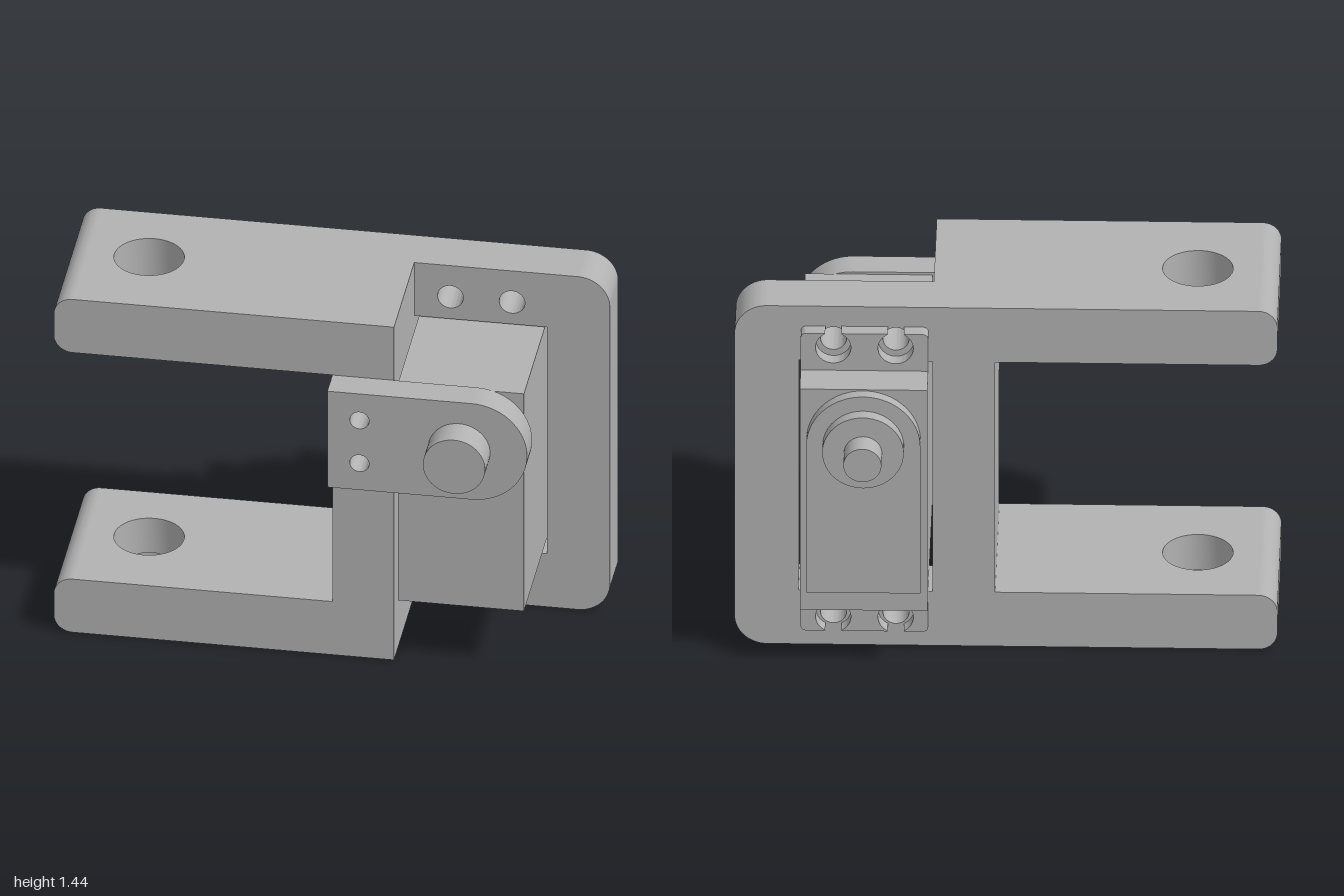
import * as THREE from 'three';
import { toCreasedNormals } from 'three/addons/utils/BufferGeometryUtils.js';

const PI = Math.PI;

export function createModel() {
  const model = new THREE.Group();
  model.name = 'servoBracket';
  const grey = new THREE.MeshStandardMaterial({ color: 0xb2b2b2 });
  grey.name = 'plain grey';

  const add = (name, geometry, parent = model) => {
    const mesh = new THREE.Mesh(geometry, grey);
    mesh.name = name;
    parent.add(mesh);
    return mesh;
  };
  const extrude = (shape, depth) => toCreasedNormals(
    new THREE.ExtrudeGeometry(shape, { depth, bevelEnabled: false, curveSegments: 24 }), 0.5);
  // Profile in x/y, running from z0 to z1
  const alongZ = (name, shape, z0, z1, parent) =>
    add(name, extrude(shape, z1 - z0).translate(0, 0, z0), parent);
  // Profile in x/-z, running from y0 to y1
  const alongY = (name, shape, y0, y1, parent) =>
    add(name, extrude(shape, y1 - y0).rotateX(-PI / 2).translate(0, y0, 0), parent);
  const box = (name, x0, x1, y0, y1, z0, z1, parent) =>
    add(name, new THREE.BoxGeometry(x1 - x0, y1 - y0, z1 - z0)
      .translate((x0 + x1) / 2, (y0 + y1) / 2, (z0 + z1) / 2), parent);
  const disc = (name, x, y, r, z0, z1, parent) =>
    add(name, new THREE.CylinderGeometry(r, r, z1 - z0, 48)
      .rotateX(PI / 2).translate(x, y, (z0 + z1) / 2), parent);
  const circle = (x, y, r) => new THREE.Path().absarc(x, y, r, 0, 2 * PI, false);
  const rect = (x0, x1, y0, y1) => new THREE.Shape()
    .moveTo(x0, y0).lineTo(x1, y0).lineTo(x1, y1).lineTo(x0, y1).closePath();

  const BACK = -0.25, FRONT = 0.4, MID = -0.06, H = 1.44;

  // Bracket: two arms, each with a rounded tip and a vertical pivot hole
  const bracket = new THREE.Group();
  bracket.name = 'bracket';
  model.add(bracket);
  const armShape = hole => {
    const s = rect(-0.93, 0.27, -FRONT, -BACK);
    s.holes.push(hole);
    return s;
  };
  const pivot = () => circle(-0.7, -0.06, 0.13);
  // Tapered recess for a lever, under the lower arm
  const t = Math.acos(0.08 / 0.65);
  const slot = new THREE.Path()
    .absarc(-0.7, -0.06, 0.18, t, 2 * PI - t, false)
    .absarc(-0.05, -0.06, 0.1, -t, t, false)
    .closePath();
  alongY('lowerArmRecess', armShape(slot), 0, 0.08, bracket);
  alongY('lowerArm', armShape(pivot()), 0.08, 0.23, bracket);
  alongY('upperArm', armShape(pivot()), 1.21, H, bracket);
  for (const [name, y0, y1] of [['lowerArmTip', 0, 0.23], ['upperArmTip', 1.21, H]]) {
    const tip = new THREE.Shape()
      .moveTo(-0.93, y0).lineTo(-0.93, y1)
      .absarc(-0.93, y1 - 0.07, 0.07, PI / 2, PI, false)
      .absarc(-0.93, y0 + 0.07, 0.07, PI, PI * 1.5, false);
    alongZ(name, tip, BACK, FRONT, bracket);
  }
  box('web', 0.04, 0.27, 0.23, 1.21, BACK, FRONT, bracket);

  // Mounting plate around the servo, open towards the web
  const plate = new THREE.Shape()
    .moveTo(0.27, 0).lineTo(0.88, 0)
    .absarc(0.88, 0.12, 0.12, -PI / 2, 0, false)
    .absarc(0.88, H - 0.12, 0.12, 0, PI / 2, false)
    .lineTo(0.27, H).lineTo(0.27, 1.21).lineTo(0.765, 1.21)
    .lineTo(0.765, 0.23).lineTo(0.27, 0.23).closePath();
  for (const x of [0.405, 0.635])
    for (const y of [0.14, 1.305]) plate.holes.push(circle(x, y, 0.048));
  alongZ('mountingPlate', plate, BACK, MID, bracket);

  // Servo body
  const servo = new THREE.Group();
  servo.name = 'servo';
  model.add(servo);
  box('servoBody', 0.285, 0.755, 0.26, 1.2, -0.445, FRONT, servo);

  // Mounting tabs with open screw holes, outer edge at local y = 0
  const tab = new THREE.Shape()
    .moveTo(-0.235, -0.18).lineTo(0.235, -0.18)
    .absarc(0.215, -0.02, 0.02, 0, PI / 2, false);
  const a = Math.acos(0.03 / 0.065);
  for (const x of [0.115, -0.115]) {
    tab.lineTo(x + 0.03, 0);
    tab.absarc(x, -0.06, 0.065, a, PI - a, true);
    tab.lineTo(x - 0.03, 0);
  }
  tab.absarc(-0.215, -0.02, 0.02, PI / 2, PI, false).closePath();
  for (const [name, y, turn] of [['upperTab', 1.356, 0], ['lowerTab', 0.09, PI]]) {
    const mesh = alongZ(name, tab, -0.305, BACK, servo);
    mesh.position.set(0.52, y, 0);
    mesh.rotation.z = turn;
  }

  // Gear cover, output disc and shaft on the back
  const cover = new THREE.Shape()
    .moveTo(0.31, 0.36).lineTo(0.73, 0.36)
    .absarc(0.52, 0.985, 0.21, 0, PI, false).closePath();
  alongZ('gearCover', cover, -0.49, -0.445, servo);
  disc('outputDisc', 0.52, 0.985, 0.15, -0.54, -0.49, servo);
  disc('outputShaft', 0.52, 0.985, 0.07, -0.632, -0.54, servo);

  // Front bearing plate with two screw holes and a pivot pin
  const strap = new THREE.Shape()
    .moveTo(0.04, 0.795).lineTo(0.578, 0.795)
    .absarc(0.578, 1.0025, 0.2075, -PI / 2, PI / 2, false)
    .lineTo(0.04, 1.21).closePath();
  strap.holes.push(circle(0.16, 1.095, 0.036), circle(0.16, 0.91, 0.036));
  alongZ('bearingPlate', strap, FRONT, 0.515);
  disc('pivotPin', 0.532, 1.0025, 0.116, 0.515, 0.632);

  return model;
}
